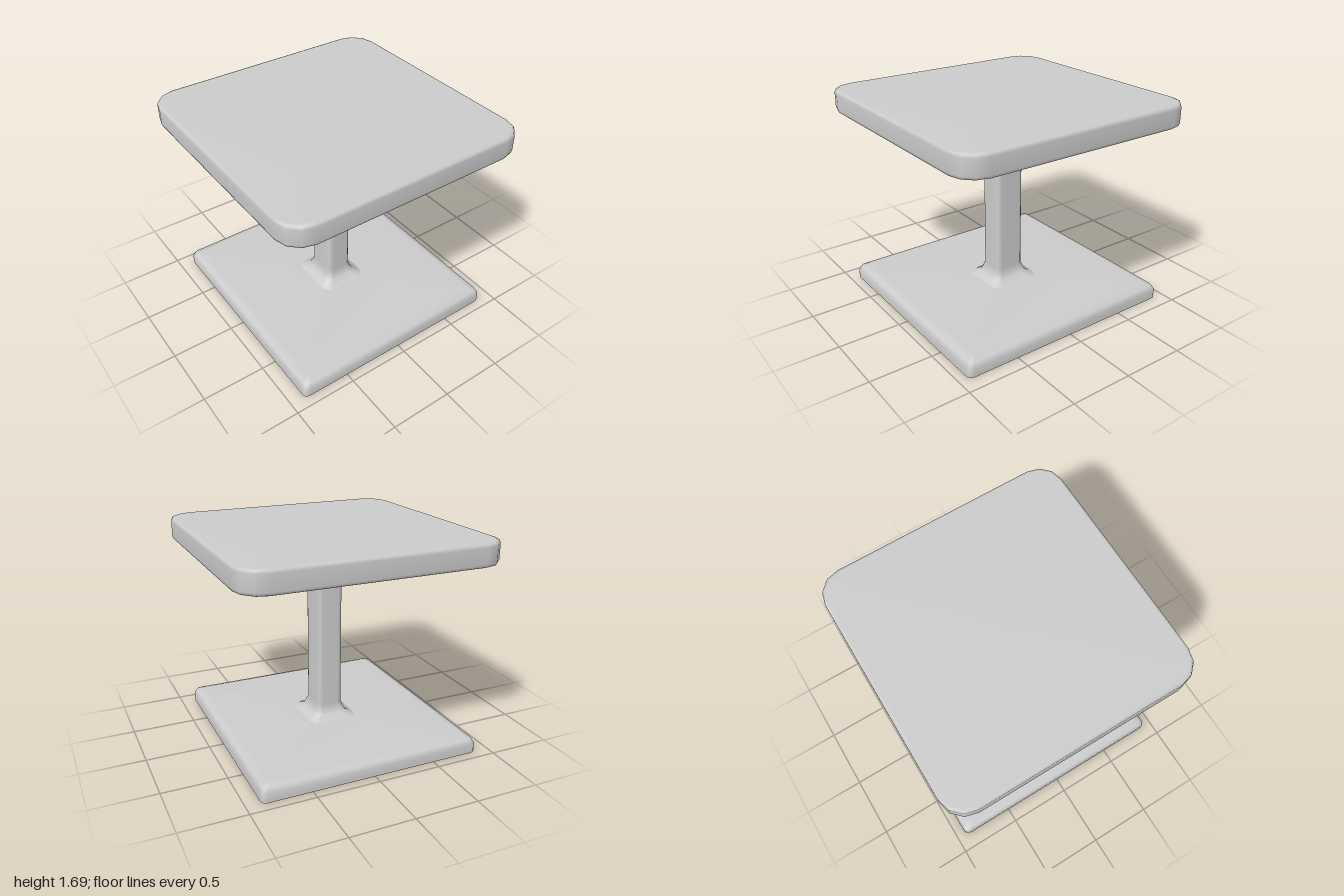
import * as THREE from 'three';

const CORNER_STEPS = 3;

// Outline of a rounded rectangle at height y; zero half-sizes give a centre point
function ring([hx, hz, r, y]) {
  const points = [];
  for (let corner = 0; corner < 4; corner++) {
    const sx = corner === 0 || corner === 3 ? 1 : -1;
    const sz = corner < 2 ? 1 : -1;
    for (let i = 0; i <= CORNER_STEPS; i++) {
      const a = (corner + i / CORNER_STEPS) * Math.PI / 2;
      points.push(sx * (hx - r) + r * Math.cos(a), y, sz * (hz - r) + r * Math.sin(a));
    }
  }
  return points;
}

// Skins bands of rings [halfX, halfZ, cornerRadius, y]: smooth within a band, sharp between bands
function loft(name, material, bands) {
  const n = 4 * (CORNER_STEPS + 1);
  const positions = [], index = [];
  for (const band of bands) {
    band.forEach((row, k) => {
      const start = positions.length / 3;
      positions.push(...ring(row));
      if (k === 0) return;
      for (let i = 0; i < n; i++) {
        const j = (i + 1) % n;
        const a = start - n + i, b = start - n + j, c = start + i, d = start + j;
        if (row[0] > 0) index.push(c, d, b);
        if (band[k - 1][0] > 0) index.push(a, c, b);
      }
    });
  }
  const geometry = new THREE.BufferGeometry();
  geometry.setAttribute('position', new THREE.Float32BufferAttribute(positions, 3));
  geometry.setIndex(index);
  geometry.computeVertexNormals();
  const mesh = new THREE.Mesh(geometry, material);
  mesh.name = name;
  return mesh;
}

export function createModel() {
  const group = new THREE.Group();
  group.name = 'pedestalTable';
  const grey = new THREE.MeshStandardMaterial({ color: 0xcccccc });

  // Foot plate with a bevelled upper edge and a flat bottom
  group.add(loft('base', grey, [
    [[0, 0, 0, 0], [0.885, 0.925, 0.04, 0]],
    [
      [0.885, 0.925, 0.04, 0], [0.885, 0.925, 0.04, 0.07], [0.865, 0.905, 0.04, 0.11],
      [0.805, 0.845, 0.03, 0.13], [0, 0, 0, 0.13],
    ],
  ]));

  // Post, flared where it meets the base, ending inside the top's recess
  group.add(loft('column', grey, [[
    [0.2, 0.22, 0.08, 0.13], [0.138, 0.158, 0.055, 0.163],
    [0.105, 0.125, 0.04, 0.24], [0.105, 0.125, 0.04, 1.61],
  ]]));

  // Table top: recess ceiling, recess wall, then rim, rounded edge and upper face
  group.add(loft('tableTop', grey, [
    [[0, 0, 0, 1.61], [0.8, 0.8, 0.17, 1.61]],
    [[0.8, 0.8, 0.17, 1.61], [0.8, 0.8, 0.17, 1.51]],
    [
      [0.8, 0.8, 0.17, 1.51], [0.97, 0.97, 0.17, 1.51], [0.992, 0.992, 0.19, 1.518],
      [1, 1, 0.195, 1.54], [1, 1, 0.195, 1.66], [0.992, 0.992, 0.19, 1.682],
      [0.97, 0.97, 0.17, 1.69], [0, 0, 0, 1.69],
    ],
  ]));

  return group;
}
